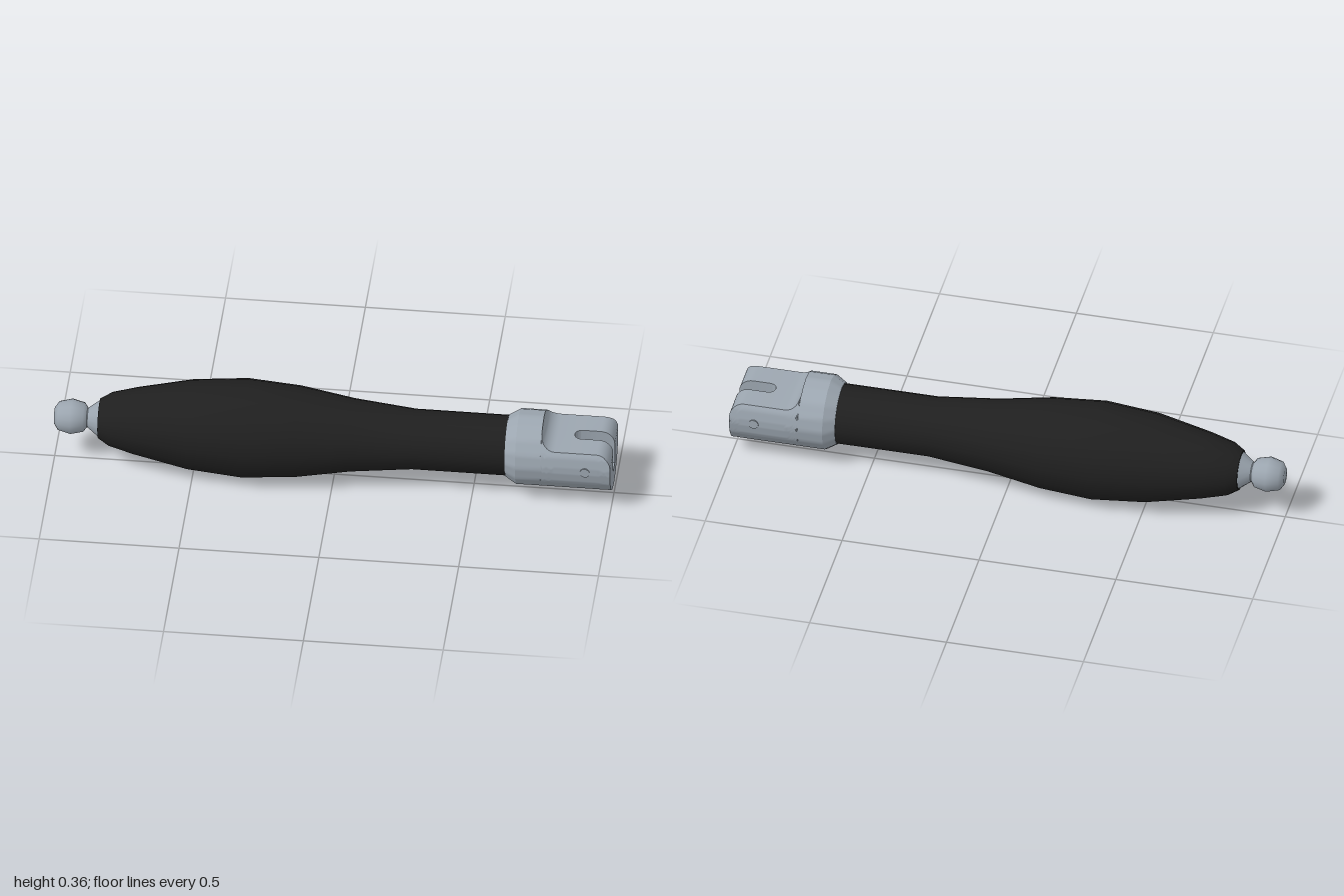
import * as THREE from 'three';
import { toCreasedNormals } from 'three/addons/utils/BufferGeometryUtils.js';

const AXIS_Y = 0.18, SIDES = 16, R = 0.1365;
const FLOOR = 0.068, SLOT_BOTTOM = -0.066, SLOT_HALF = 0.026, FILLET = 0.05;

// Turned part along x, from [x, radius] points
function turned(points, crease) {
  const g = new THREE.LatheGeometry(points.map(([x, r]) => new THREE.Vector2(r, x)), SIDES);
  g.rotateZ(-Math.PI / 2);
  return toCreasedNormals(g, crease);
}

// Radius of the sixteen-sided outline at an angle
function outline(angle, r) {
  const step = (2 * Math.PI) / SIDES;
  const a = ((angle % step) + step) % step;
  return (r * Math.cos(step / 2)) / Math.cos(a - step / 2);
}

// Cross-section as [y, z]: outline cut flat at top, with a notch for the slot
function section(r, top, half, slotted) {
  let start = Math.PI / 2;
  if (top < r) for (let i = 0; i < 8; i++) start = Math.asin(top / outline(start, r));
  const pts = [], n = 64;
  for (let i = 0; i <= n; i++) {
    const a = start - (i / n) * (2 * start + Math.PI - 2 * start + 2 * start);
    const q = outline(a, r);
    pts.push([q * Math.sin(a), q * Math.cos(a)]);
  }
  const y = Math.min(top, r), bottom = slotted ? SLOT_BOTTOM : y;
  pts.push([y, -half], [bottom, -half], [bottom, half], [y, half]);
  return pts;
}

// Tenon top: concave fillet at the shoulder, rounded nose at the end
function topAt(x) {
  if (x < 0.8) return FLOOR + FILLET - Math.sqrt(Math.max(0, FILLET ** 2 - (0.8 - x) ** 2));
  if (x > 0.95) return FLOOR - FILLET + Math.sqrt(Math.max(0, FILLET ** 2 - (x - 0.95) ** 2));
  return FLOOR;
}

function slotAt(x) {
  return x >= 0.886 ? SLOT_HALF : Math.sqrt(Math.max(0, SLOT_HALF ** 2 - (0.886 - x) ** 2));
}

// Slotted ferrule lofted through its cross-sections
function ferruleGeometry() {
  const loops = [];
  const add = (x, pts) => loops.push({ x, pts });
  add(0.62, section(0.1, 1, 0, false));
  add(0.62, section(0.112, 1, 0, false));
  add(0.66, section(R, 1, 0, false));
  add(0.75, section(R, 1, 0, false));
  for (let i = 0; i <= 8; i++) {
    const x = 0.8 - FILLET * Math.cos((i / 8) * Math.PI / 2);
    add(x, section(R, topAt(x), 0, false));
  }
  add(0.86, section(R, FLOOR, 0, false));
  for (let i = 0; i <= 8; i++) {
    const x = 0.886 - SLOT_HALF * Math.cos((i / 8) * Math.PI / 2);
    add(x, section(R, FLOOR, slotAt(x), true));
  }
  for (let i = 0; i <= 8; i++) {
    const x = 0.95 + FILLET * Math.sin((i / 8) * Math.PI / 2);
    add(x, section(R, topAt(x), SLOT_HALF, true));
  }

  const pos = [];
  const put = (loop, j) => pos.push(loop.x, ...loop.pts[j % loop.pts.length]);
  for (let i = 0; i < loops.length - 1; i++) {
    const a = loops[i], b = loops[i + 1];
    for (let j = 0; j < a.pts.length; j++) {
      put(a, j); put(a, j + 1); put(b, j);
      put(a, j + 1); put(b, j + 1); put(b, j);
    }
  }
  // End face
  const end = loops[loops.length - 1];
  const contour = end.pts.map(([y, z]) => new THREE.Vector2(y, z));
  for (const tri of THREE.ShapeUtils.triangulateShape(contour, [])) tri.forEach((j) => put(end, j));

  const g = new THREE.BufferGeometry();
  g.setAttribute('position', new THREE.Float32BufferAttribute(pos, 3));
  return toCreasedNormals(g, 0.5);
}

export function createModel() {
  const grip = new THREE.MeshStandardMaterial({ name: 'black grip', color: 0x1f1f1f });
  const steel = new THREE.MeshStandardMaterial({ name: 'steel grey', color: 0x9ca6b0 });
  const model = new THREE.Group();
  model.name = 'toolHandle';
  const add = (name, geometry, material, x = 0, z = 0) => {
    const mesh = new THREE.Mesh(geometry, material);
    mesh.name = name;
    mesh.position.set(x, AXIS_Y, z);
    model.add(mesh);
  };

  // Swelling grip
  add('grip', turned([
    [-0.84, 0], [-0.84, 0.072], [-0.8, 0.097], [-0.71, 0.121], [-0.515, 0.162], [-0.32, 0.179],
    [-0.13, 0.165], [0.065, 0.132], [0.285, 0.109], [0.62, 0.109], [0.62, 0],
  ], 0.6), grip);

  // Ball end and its flared neck
  add('ballEnd', turned([
    [-1, 0], [-1, 0.03], [-0.985, 0.052], [-0.94, 0.064], [-0.895, 0.053], [-0.883, 0.036],
  ], 0.9), steel);
  add('neck', turned([[-0.89, 0.036], [-0.88, 0.036], [-0.838, 0.068], [-0.838, 0]], 0.4), steel);

  // Slotted ferrule with flush cross pins
  add('ferrule', ferruleGeometry(), steel);
  for (const side of [1, -1]) {
    const pin = new THREE.CylinderGeometry(0.018, 0.018, 0.038, 14);
    pin.rotateX(Math.PI / 2);
    add('crossPin', pin, steel, 0.91, side * 0.119);
  }
  return model;
}
